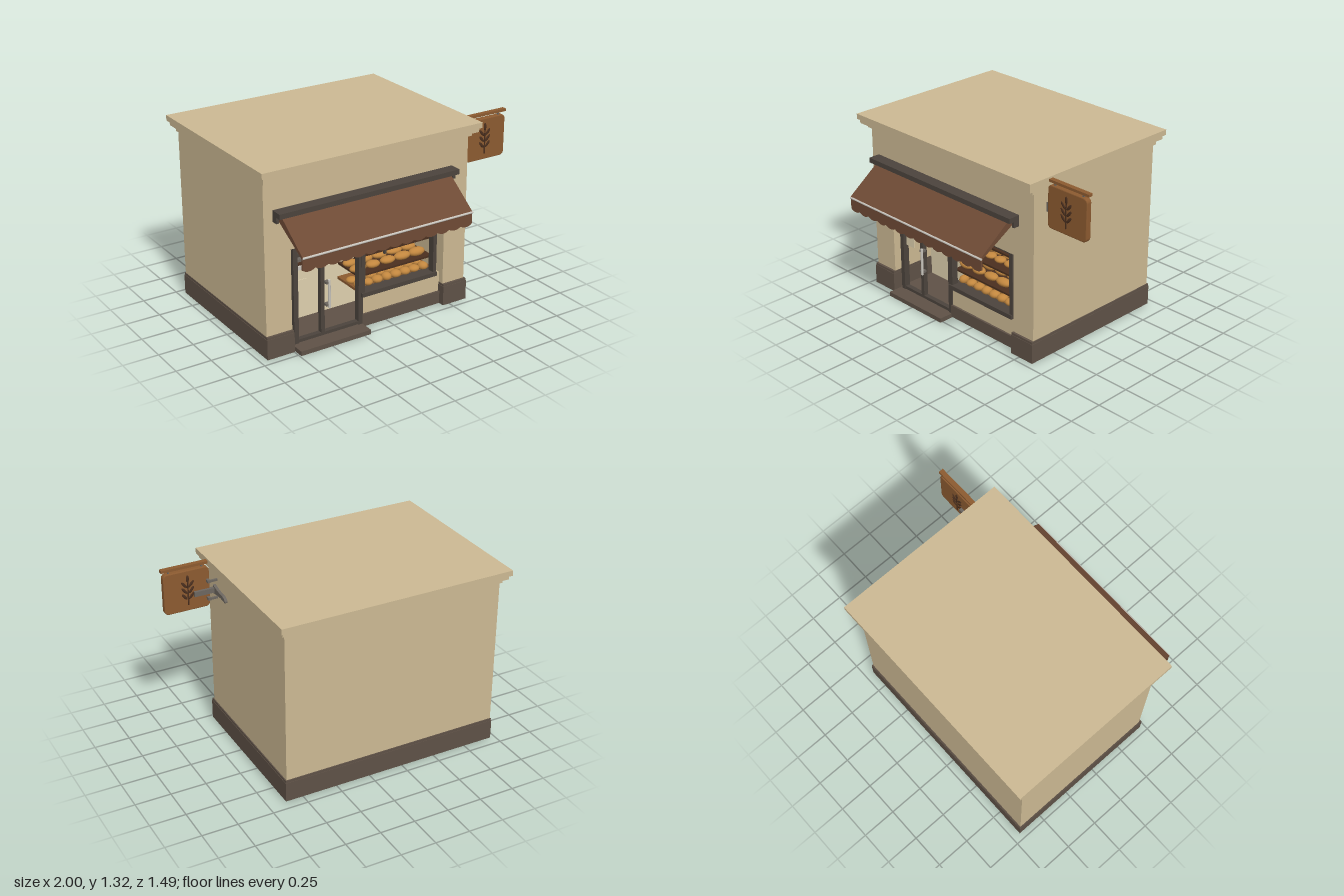
import * as THREE from 'three';

const mat = (name, color, side = THREE.FrontSide) => {
  const m = new THREE.MeshStandardMaterial({ color, side });
  m.name = name;
  return m;
};

export function createModel() {
  const cream = mat('cream plaster', 0xcbb892);
  const stone = mat('brown stone', 0x5e5146);
  const dark = mat('dark frame', 0x4b433c);
  const cloth = mat('awning cloth', 0x6e4a35, THREE.DoubleSide);
  const white = mat('pale trim', 0xc9c5bd);
  const wood = mat('sign wood', 0x8b5a30);
  const carve = mat('dark carving', 0x4a2f1e);
  const crust = mat('bread crust', 0xc2873f);
  const metal = mat('grey metal', 0x6c665f);
  const inside = mat('interior cream', 0xddcfad);

  const model = new THREE.Group();
  model.name = 'bakeryShop';
  const group = (name, parent = model) => {
    const g = new THREE.Group();
    g.name = name;
    parent.add(g);
    return g;
  };
  const add = (parent, name, geo, m) => {
    const mesh = new THREE.Mesh(geo, m);
    mesh.name = name;
    parent.add(mesh);
    return mesh;
  };
  // box given by its min and max on each axis
  const box = (parent, name, m, x0, x1, y0, y1, z0, z1) => {
    const b = add(parent, name, new THREE.BoxGeometry(x1 - x0, y1 - y0, z1 - z0), m);
    b.position.set((x0 + x1) / 2, (y0 + y1) / 2, (z0 + z1) / 2);
    return b;
  };
  const ball = (parent, name, m, x, y, z, rx, ry, rz, tilt = 0) => {
    const s = add(parent, name, new THREE.SphereGeometry(1, 14, 10), m);
    s.position.set(x, y, z);
    s.scale.set(rx, ry, rz);
    s.rotation.z = tilt;
    return s;
  };
  let seed = 7;
  const rand = () => (seed = (seed * 16807) % 2147483647) / 2147483647;

  // walls around a recessed shop room
  const walls = group('walls');
  box(walls, 'rearBlock', cream, -0.95, 0.62, 0.02, 1.24, -0.68, 0.1);
  box(walls, 'leftFrontWall', cream, 0.44, 0.62, 0.02, 1.24, 0.1, 0.445);
  box(walls, 'rightFrontWall', cream, -0.95, -0.76, 0.02, 1.24, 0.1, 0.445);
  box(walls, 'lintel', cream, -0.76, 0.44, 0.73, 1.24, 0.1, 0.445);
  box(walls, 'windowApron', cream, -0.2, 0.44, 0.02, 0.24, 0.36, 0.405);
  box(walls, 'roomBackPanel', inside, -0.76, 0.44, 0.02, 0.73, 0.1, 0.108);

  // plinth and floor
  const plinth = group('plinth');
  const plinthBox = (name, x0, x1, z0, z1) => {
    box(plinth, name, stone, x0, x1, 0.01, 0.15, z0, z1);
    box(plinth, name + 'Lip', stone, x0 + 0.003, x1 - 0.003, 0.15, 0.167, z0 + 0.003, z1 - 0.003);
  };
  plinthBox('rearPlinth', -0.957, 0.63, -0.69, 0.095);
  plinthBox('leftPlinth', 0.435, 0.63, 0.09, 0.465);
  plinthBox('rightPlinth', -0.957, -0.755, 0.09, 0.465);
  box(plinth, 'floor', stone, -0.76, 0.44, 0.01, 0.03, 0.05, 0.41);
  box(plinth, 'windowPlinth', stone, -0.2, 0.44, 0.01, 0.1, 0.35, 0.42);
  box(plinth, 'doorStep', stone, -0.74, -0.2, 0, 0.032, 0.38, 0.52);

  // stepped cornice and flat roof
  const cornice = group('cornice');
  [[1.215, 1.25, 0.96, 0.63, -0.695, 0.47], [1.25, 1.28, 0.985, 0.655, -0.73, 0.515],
    [1.28, 1.318, 1, 0.67, -0.748, 0.53]].forEach(([y0, y1, xl, xr, z0, z1], i) =>
    box(cornice, 'corniceStep' + (i + 1), cream, -xl, xr, y0, y1, z0, z1));

  // awning: sloped cloth, scalloped valance, rail
  const awning = group('awning');
  const slope = new THREE.Shape();
  [[0.45, 0.995], [0.5, 0.985], [0.738, 0.808], [0.735, 0.79], [0.45, 0.955]].forEach(([z, y], i) =>
    i ? slope.lineTo(-z, y) : slope.moveTo(-z, y));
  const cover = add(awning, 'awningCover',
    new THREE.ExtrudeGeometry(slope, { depth: 1.295, bevelEnabled: false }), cloth);
  cover.rotation.y = Math.PI / 2;
  cover.position.x = -0.85;
  const edge = new THREE.Shape();
  const scallops = 14, w = 1.295 / scallops;
  edge.moveTo(-0.85, 0.8);
  edge.lineTo(-0.85, 0.722);
  for (let i = 0; i < scallops; i++) {
    const x = -0.85 + i * w;
    edge.quadraticCurveTo(x + w / 2, 0.692, x + w, 0.722);
  }
  edge.lineTo(0.445, 0.8);
  add(awning, 'valance', new THREE.ExtrudeGeometry(edge, { depth: 0.012, bevelEnabled: false, curveSegments: 5 }),
    cloth).position.z = 0.722;
  const rod = add(awning, 'frontRod', new THREE.CylinderGeometry(0.008, 0.008, 1.3, 10), white);
  rod.rotation.z = Math.PI / 2;
  rod.position.set(-0.2, 0.803, 0.735);
  box(awning, 'wallRail', dark, -0.885, 0.49, 0.992, 1.027, 0.44, 0.53);
  for (const x of [-0.875, 0.48]) box(awning, 'railBracket', dark, x - 0.01, x + 0.01, 0.95, 1.0, 0.44, 0.49);

  // door with two panes
  const door = group('door');
  for (const x of [-0.71, -0.212]) box(door, 'doorPost', dark, x - 0.017, x + 0.017, 0.03, 0.73, 0.37, 0.415);
  for (const y of [0.045, 0.655, 0.712]) box(door, 'doorRail', dark, -0.71, -0.212, y - 0.011, y + 0.011, 0.375, 0.41);
  box(door, 'doorStile', dark, -0.52, -0.492, 0.04, 0.65, 0.375, 0.41);
  box(door, 'noticeCard', inside, -0.69, -0.61, 0.38, 0.47, 0.385, 0.39);
  const grip = add(door, 'doorHandle', new THREE.CylinderGeometry(0.009, 0.009, 0.2, 10), white);
  grip.position.set(-0.472, 0.34, 0.438);
  for (const y of [0.26, 0.42]) box(door, 'handleMount', metal, -0.495, -0.465, y - 0.008, y + 0.008, 0.405, 0.44);

  // display window frame
  const win = group('displayWindow');
  for (const x of [-0.195, 0.388]) box(win, 'windowPost', dark, x - 0.014, x + 0.014, 0.235, 0.73, 0.37, 0.42);
  box(win, 'windowSill', dark, -0.21, 0.402, 0.232, 0.262, 0.34, 0.43);
  box(win, 'windowHead', dark, -0.21, 0.402, 0.7, 0.73, 0.37, 0.415);
  box(win, 'windowMullion', dark, -0.008, 0.008, 0.485, 0.72, 0.375, 0.39);

  // shelves and bread
  const display = group('display');
  box(display, 'displayFloor', wood, -0.2, 0.43, 0.24, 0.258, 0.11, 0.37);
  [0.36, 0.485, 0.6].forEach((y, i) =>
    box(display, 'windowShelf', carve, -0.2, 0.4, y - 0.007, y + 0.007, 0.12, 0.37 - i * 0.03));
  for (const y of [0.485, 0.597]) box(display, 'doorShelf', carve, -0.7, -0.2, y - 0.007, y + 0.007, 0.108, 0.22);
  const bread = group('bread', display);
  // each row: start, end, shelf top, loaf count, loaf height, depth positions
  [[-0.17, 0.36, 0.258, 8, 0.025, [0.32, 0.24]], [-0.16, 0.32, 0.367, 5, 0.026, [0.3, 0.2]],
    [-0.16, 0.3, 0.492, 6, 0.02, [0.25, 0.17]], [-0.31, -0.22, 0.492, 2, 0.02, [0.17]]]
    .forEach(([x0, x1, y, n, h, depths]) => depths.forEach((z) => {
      for (let i = 0; i < n; i++) {
        const r = (x1 - x0) / (n - 1) * (0.42 + 0.16 * rand());
        ball(bread, 'loaf', crust, x0 + (x1 - x0) * i / (n - 1), y + h * 0.75, z,
          Math.min(r, 0.065), h * (0.85 + 0.4 * rand()), 0.038);
      }
    }));
  ball(bread, 'tallLoaf', crust, 0.32, 0.65, 0.2, 0.022, 0.048, 0.02, -0.2);
  ball(bread, 'doorShelfLoaf', crust, -0.36, 0.616, 0.17, 0.04, 0.014, 0.03);
  box(display, 'darkTray', dark, 0.03, 0.16, 0.607, 0.68, 0.16, 0.18);
  box(display, 'paleBox', inside, -0.68, -0.59, 0.604, 0.63, 0.13, 0.2);
  box(display, 'metalTray', metal, -0.57, -0.42, 0.492, 0.51, 0.13, 0.2);
  box(display, 'counterRail', white, -0.57, -0.25, 0.405, 0.43, 0.11, 0.15);

  // hanging sign on the left wall
  const sign = group('hangingSign');
  const r = 0.025, x0 = 0.67, x1 = 0.985, y0 = 0.983, y1 = 1.265;
  const board = new THREE.Shape();
  board.absarc(x1 - r, y0 + r, r, -Math.PI / 2, 0);
  board.absarc(x1 - r, y1 - r, r, 0, Math.PI / 2);
  board.absarc(x0 + r, y1 - r, r, Math.PI / 2, Math.PI);
  board.absarc(x0 + r, y0 + r, r, Math.PI, Math.PI * 1.5);
  add(sign, 'signBoard', new THREE.ExtrudeGeometry(board,
    { depth: 0.028, bevelThickness: 0.006, bevelSize: 0.006, bevelSegments: 2, curveSegments: 5 }), wood).position.z = 0.336;
  box(sign, 'signBar', wood, 0.66, 1.0, 1.288, 1.306, 0.333, 0.367);
  for (const x of [0.71, 0.945]) box(sign, 'signHanger', metal, x - 0.006, x + 0.006, 1.265, 1.29, 0.344, 0.356);
  // wheat ear relief on both faces
  for (const z of [0.371, 0.329]) {
    const ear = group('wheatRelief', sign);
    box(ear, 'stalk', carve, 0.817, 0.825, 1.02, 1.19, z - 0.004, z + 0.004);
    ball(ear, 'topGrain', carve, 0.821, 1.212, z, 0.011, 0.026, 0.005);
    for (let i = 0; i < 3; i++) for (const s of [-1, 1])
      ball(ear, 'grain', carve, 0.821 + s * 0.025, 1.085 + i * 0.043, z, 0.01, 0.029, 0.005, -s * 0.7);
  }
  // wall bracket
  for (const y of [1.04, 1.17]) {
    box(sign, 'bracketArm', metal, 0.615, 0.69, y - 0.007, y + 0.007, 0.3, 0.314);
    box(sign, 'bracketPin', metal, 0.67, 0.69, y - 0.01, y + 0.01, 0.3, 0.34);
  }
  const scroll = new THREE.Shape();
  scroll.moveTo(-0.335, 1.125);
  scroll.quadraticCurveTo(-0.26, 1.1, -0.19, 1.105);
  scroll.quadraticCurveTo(-0.14, 1.09, -0.15, 1.068);
  scroll.quadraticCurveTo(-0.23, 1.085, -0.335, 1.06);
  const arm = add(sign, 'bracketScroll', new THREE.ExtrudeGeometry(scroll, { depth: 0.022, bevelEnabled: false }), metal);
  arm.rotation.y = Math.PI / 2;
  arm.position.x = 0.618;
  box(sign, 'bracketPlate', metal, 0.62, 0.78, 1.075, 1.11, 0.31, 0.336);

  return model;
}
